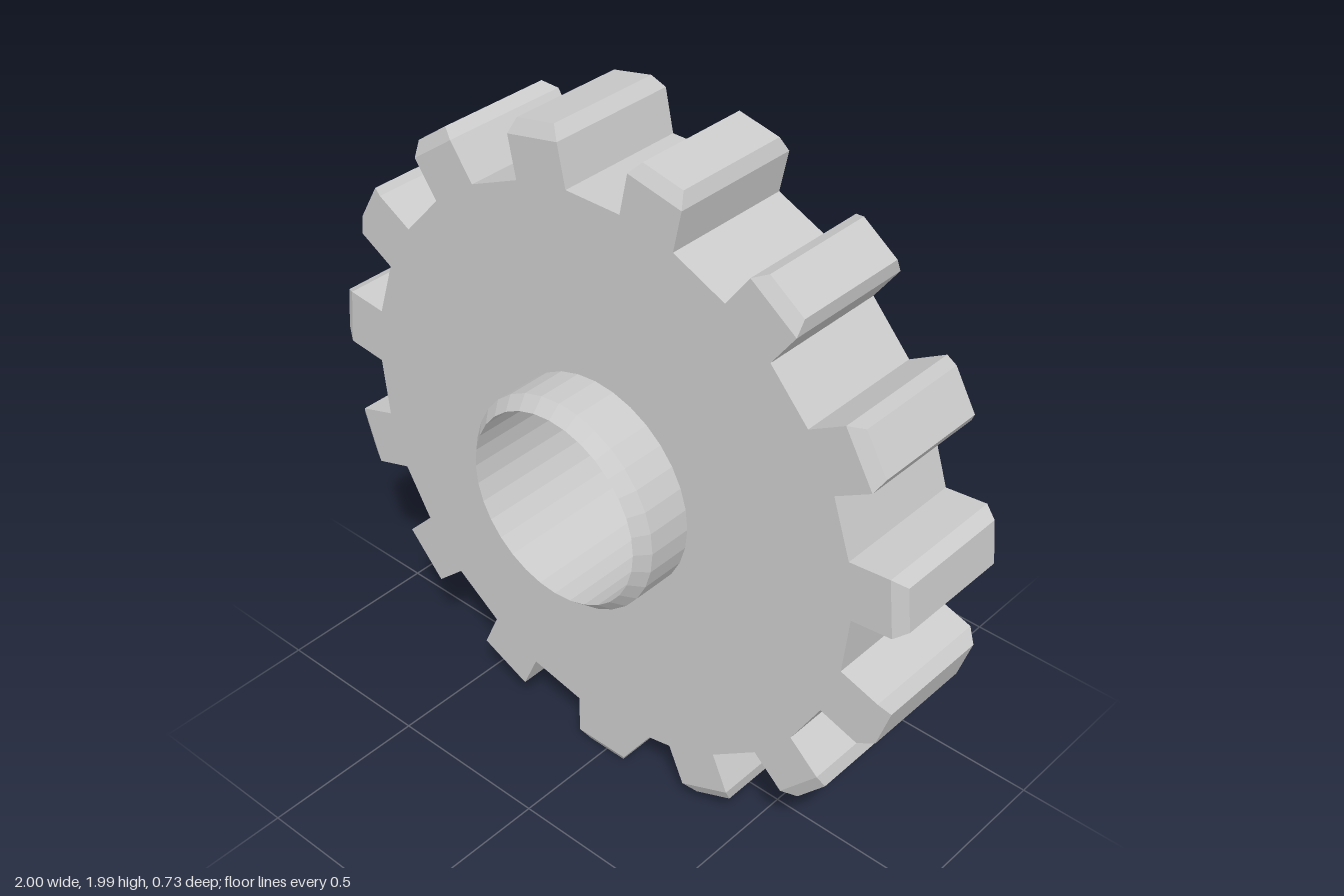
import * as THREE from 'three';

const TEETH = 15;
const STEP = (Math.PI * 2) / TEETH;
const TIP_R = 0.998, SHOULDER_R = 0.961;  // tooth tip and start of its bevel
const HALF_W = 0.087, HALF_D = 0.197;     // tooth half width, gear half thickness
const BEVEL = 0.022;
const ROOT_R = 0.842;                     // corner radius of the root polygon
const ROOT_Y = Math.sqrt(ROOT_R ** 2 - HALF_W ** 2);

const material = new THREE.MeshStandardMaterial({ color: 0xcccccc, flatShading: true });

function part(name, geometry) {
  const mesh = new THREE.Mesh(geometry, material);
  mesh.name = name;
  return mesh;
}

// Disc: straight flats between and below the teeth, open in the middle for the hub
function discGeometry() {
  const half = Math.asin(HALF_W / ROOT_R);
  const outline = [];
  for (let i = 0; i < TEETH; i++) {
    for (const side of [-half, half]) {
      const a = -Math.PI / 2 + i * STEP + side;
      outline.push(new THREE.Vector2(Math.cos(a) * ROOT_R, Math.sin(a) * ROOT_R));
    }
  }
  const shape = new THREE.Shape(outline);
  shape.holes.push(new THREE.Path().absarc(0, 0, 0.3, 0, Math.PI * 2, true));
  return new THREE.ExtrudeGeometry(shape, { depth: HALF_D * 2, bevelEnabled: false, curveSegments: 16 })
    .translate(0, 0, -HALF_D);
}

// Tooth: a block pointing down, with all four tip edges bevelled
function toothGeometry() {
  const geometry = new THREE.BoxGeometry(2, 2, 2, 1, 2, 1);
  const pos = geometry.attributes.position;
  for (let i = 0; i < pos.count; i++) {
    const level = Math.round(pos.getY(i));  // 1 root, 0 shoulder, -1 tip
    const inset = level < 0 ? BEVEL : 0;
    const r = level > 0 ? ROOT_Y : level === 0 ? SHOULDER_R : TIP_R;
    pos.setXYZ(i, pos.getX(i) * (HALF_W - inset), -r, pos.getZ(i) * (HALF_D - inset));
  }
  geometry.computeVertexNormals();
  return geometry;
}

// Hub: a sleeve with bevelled rims and a through bore
function hubGeometry() {
  const profile = [
    [0.283, -0.367], [0.316, -0.33], [0.316, 0.33], [0.283, 0.367], [0.283, -0.367],
  ].map(([r, y]) => new THREE.Vector2(r, y));
  return new THREE.LatheGeometry(profile, 32).rotateX(Math.PI / 2);
}

export function createModel() {
  const gear = new THREE.Group();
  gear.name = 'gear';
  gear.position.y = TIP_R;
  gear.add(part('disc', discGeometry()), part('hub', hubGeometry()));

  const tooth = toothGeometry();
  for (let i = 0; i < TEETH; i++) {
    const mesh = part(`tooth${i + 1}`, tooth);
    mesh.rotation.z = i * STEP;
    gear.add(mesh);
  }

  const model = new THREE.Group();
  model.name = 'gearWheel';
  model.add(gear);
  return model;
}
